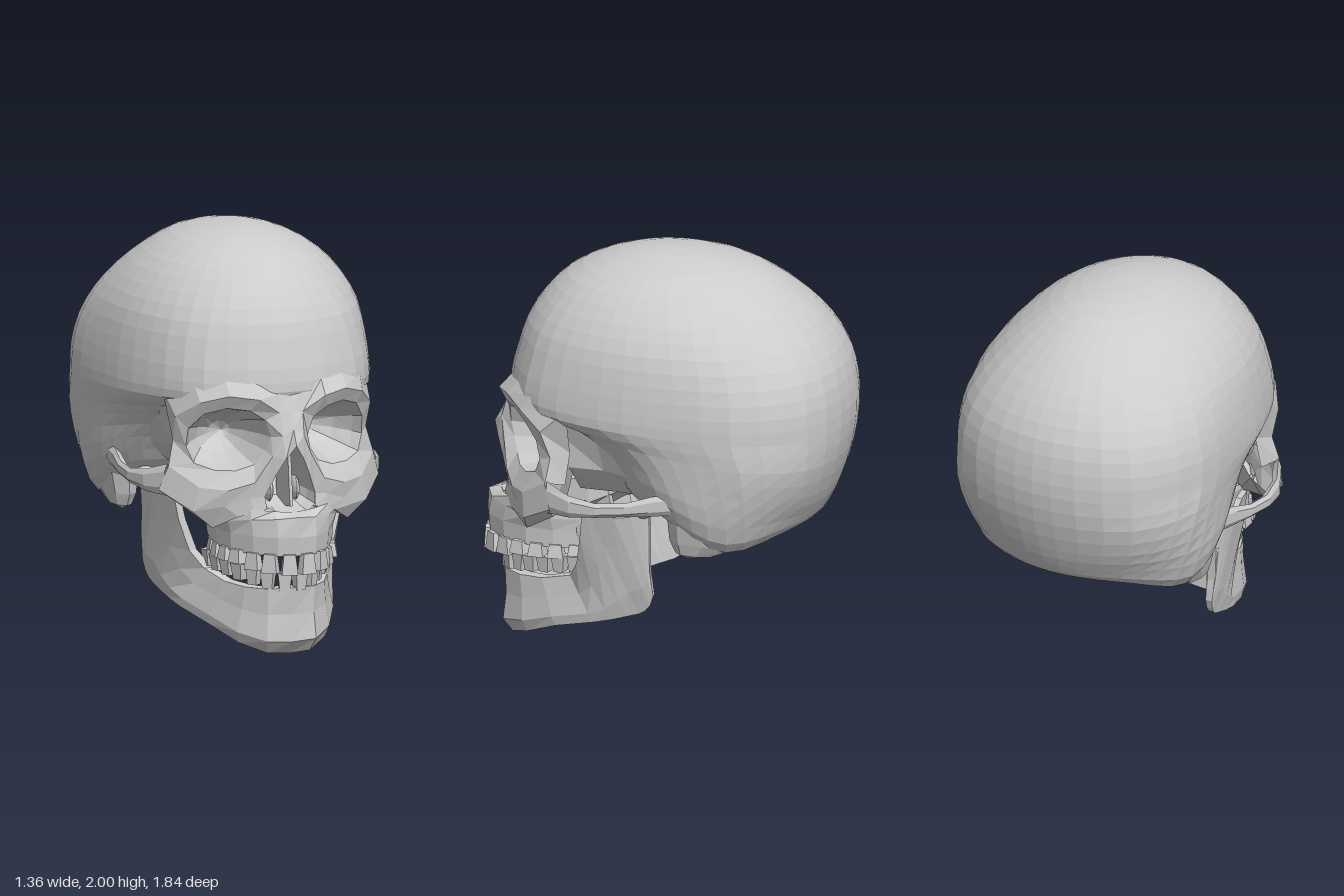
import * as THREE from 'three';

const bone = new THREE.MeshStandardMaterial({ color: 0xcccccc, flatShading: true, side: THREE.DoubleSide });
const V = (x, y, z) => new THREE.Vector3(x, y, z);
const pts = list => list.map(p => V(...p));
const flip = rows => rows.map(r => r.map(p => V(-p.x, p.y, p.z))).reverse();
const { lerp, clamp } = THREE.MathUtils;

// Surface through rows of equal length; closed joins each row's end to its start
function loft(rows, closed = false) {
  const n = rows[0].length, pos = [], idx = [];
  rows.forEach(r => r.forEach(p => pos.push(p.x, p.y, p.z)));
  for (let i = 0; i < rows.length - 1; i++) {
    for (let j = 0; j < (closed ? n : n - 1); j++) {
      const a = i * n + j, b = i * n + (j + 1) % n;
      idx.push(a, a + n, b, b, a + n, b + n);
    }
  }
  const g = new THREE.BufferGeometry();
  g.setAttribute('position', new THREE.Float32BufferAttribute(pos, 3));
  g.setIndex(idx);
  const flat = g.toNonIndexed();
  flat.computeVertexNormals();
  return flat;
}

// Adds smooth in-between rows, column by column
function refine(rows, n) {
  const cols = rows[0].map((_, j) => new THREE.CatmullRomCurve3(rows.map(r => r[j])).getPoints((rows.length - 1) * n));
  return cols[0].map((_, i) => cols.map(c => c[i]));
}

// Rings shrinking from a rim towards a deep point: [scale, depth] per ring
const bowl = (rim, deep, steps) => steps.map(([s, d]) => rim.map(p =>
  V(lerp(deep.x, p.x, s), lerp(deep.y, p.y, s), lerp(p.z, deep.z, d))));

export function createModel() {
  const model = new THREE.Group();
  const add = (name, geo, parent = model) => {
    const m = new THREE.Mesh(geo, bone);
    m.name = name;
    parent.add(m);
    return m;
  };
  const pair = (name, rows, closed) => {
    add(name + 'Left', loft(rows, closed));
    add(name + 'Right', loft(flip(rows), closed));
  };
  const blobs = (name, [x, y, z], [rx, ry, rz]) => [1, -1].forEach(s => {
    const m = add(name + (s > 0 ? 'Left' : 'Right'), new THREE.SphereGeometry(1, 10, 7));
    m.position.set(s * x, y, z);
    m.scale.set(rx, ry, rz);
  });

  // Braincase: tilted rings on one plan outline that rounds off up and down, then the concave base and foramen
  const plan = new THREE.CatmullRomCurve3(pts([[0, 0, 1], [.22, 0, .985], [.42, 0, .92], [.62, 0, .82], [.76, 0, .66],
    [.855, 0, .48], [.93, 0, .28], [.972, 0, .07], [.995, 0, -.16], [.995, 0, -.4], [.9, 0, -.63], [.75, 0, -.8],
    [.5, 0, -.925], [.22, 0, -.985], [0, 0, -1]])).getPoints(20);
  const outline = [...plan, ...plan.slice(1, -1).reverse().map(p => V(-p.x, 0, p.z))];
  // [front y, front z, back y, back z, half width, sag]
  const rings = [
    [2, 0, 2, 0, 0, 0], [1.987, .16, 1.987, -.18, .13, 0], [1.938, .34, 1.938, -.4, .285, 0],
    [1.855, .5, 1.855, -.56, .42, 0], [1.745, .61, 1.745, -.7, .53, 0], [1.62, .69, 1.62, -.81, .61, 0],
    [1.48, .735, 1.48, -.885, .655, 0], [1.34, .768, 1.34, -.915, .676, 0], [1.26, .76, 1.2, -.92, .68, 0],
    [1.2, .55, 1.04, -.895, .675, 0], [1.1, .38, .88, -.845, .665, .02], [.95, .27, .78, -.8, .64, .07],
    [.85, .22, .72, -.75, .57, .135], [.84, .14, .74, -.66, .44, .06], [.82, -.14, .78, -.48, .12, 0],
    [.98, -.2, .98, -.42, .08, 0], [.99, -.31, .99, -.31, 0, 0]];
  const skullRows = rings.map(([yf, zf, yb, zb, w, sag]) => outline.map(o => {
    const z = lerp(zb, zf, (o.z + 1) / 2);
    const round = Math.sign(o.x) * Math.sqrt(Math.max(0, 1 - o.z * o.z));
    const blend = clamp(Math.max((yf - 1.4) / .45, (1.2 - yf) / .3), 0, 1);
    return V(lerp(o.x, round, blend) * w,
      lerp(yb, yf, (o.z + 1) / 2) - sag * Math.exp(-(((z + .38) / .24) ** 2)), z);
  }));
  add('braincase', loft(refine(skullRows, 2), true));

  // Eye sockets: rim, surrounding loop and inner bowl
  const rim = pts([[.095, 1.08, .765], [.125, 1.165, .765], [.2, 1.215, .765], [.3, 1.225, .71], [.395, 1.19, .64], [.45, 1.11, .57],
    [.455, 1.02, .55], [.425, .94, .58], [.34, .91, .645], [.25, .91, .69], [.165, .94, .72], [.115, 1.01, .745]]);
  const loop = pts([[.055, 1.09, .82], [.06, 1.2, .79], [.17, 1.275, .81], [.3, 1.29, .745], [.42, 1.25, .655], [.505, 1.17, .54],
    [.5, 1.04, .49], [.53, .92, .51], [.42, .83, .645], [.3, .82, .72], [.18, .86, .77], [.1, .99, .8]]);
  pair('eyeSocketRim', [loop, rim], true);
  pair('eyeSocket', bowl(rim, V(.2, 1.05, .36), [[1, 0], [.88, .25], [.6, .65], [.28, .92], [0, 1]]), true);

  // Brow blending into the forehead, and the temple wall behind the socket
  const browTop = pts([[.06, 1.29, .765], [.17, 1.345, .75], [.3, 1.36, .685], [.43, 1.34, .59], [.525, 1.29, .41],
    [.46, 1.06, .4], [.48, .9, .42]]);
  pair('brow', [browTop, loop.slice(1, 8)]);
  pair('templeWall', [
    pts([[.61, 1.3, .1], [.57, 1.12, .06], [.5, .95, .04], [.36, .83, .02]]),
    pts([[.56, 1.31, .3], [.485, 1.12, .26], [.43, .97, .24], [.32, .83, .22]]),
    pts([[.525, 1.29, .41], [.46, 1.12, .41], [.44, .98, .41], [.3, .83, .38]])]);

  // Nasal bones and the sides of the nose opening
  const nose = pts([[0, 1.045, .865], [.045, .98, .84], [.085, .9, .81], [.13, .79, .775], [.125, .74, .785],
    [.08, .71, .805], [0, .715, .835]]);
  pair('nasalBone', [pts([[0, 1.28, .765], [0, 1.21, .79], [0, 1.12, .825], [0, 1.045, .865]]),
    [browTop[0], loop[1], loop[0], nose[1]]]);
  pair('noseSide', [nose.slice(1, 4), [loop[0], loop[11], loop[11]]]);
  const noseRim = [...nose, ...nose.slice(1, -1).reverse().map(p => V(-p.x, p.y, p.z))];
  add('noseCavity', loft(bowl(noseRim, V(0, .85, .57), [[1, 0], [.9, .4], [.65, .85], [0, 1]]), true));
  const septum = add('septum', new THREE.BoxGeometry(.016, .25, .18));
  septum.position.set(0, .85, .69);
  septum.rotation.x = -.12;
  blobs('turbinate', [.068, .8, .65], [.02, .06, .06]);

  // Cheekbone from the lower socket edge to the upper jaw, with a turned-in underside
  pair('cheekbone', [
    [11, 10, 9, 8, 7].map(i => loop[i]),
    [nose[3], ...pts([[.2, .78, .755], [.31, .74, .7], [.45, .71, .63], [.57, .8, .48]])],
    pts([[.125, .73, .79], [.18, .71, .77], [.25, .69, .73], [.35, .625, .635], [.48, .735, .48]]),
    pts([[.12, .72, .74], [.18, .7, .68], [.25, .68, .62], [.3, .7, .52], [.42, .83, .42]]),
    pts([[.12, .8, .6], [.18, .84, .56], [.24, .9, .52], [.28, .92, .45], [.36, .95, .4]])]);

  // Zygomatic arch: a flat bar swept back into the crest above the ear
  const arch = [[.53, .85, .5, .08], [.595, .832, .38, .055], [.625, .83, .24, .036], [.62, .84, .1, .034],
    [.6, .86, -.03, .05], [.59, .875, -.14, .055], [.57, .88, -.28, .03]];
  pair('cheekArch', arch.map(([x, y, z, h]) => [[0, 1], [.016, .5], [.016, -.5], [0, -1], [-.03, -.5], [-.03, .5]]
    .map(([dx, dy]) => V(x + dx, y + dy * h, z))), true);

  // Upper jaw: outer arcs, then the inner arcs of the palate
  const upperArc = [[0, .9], [.1, .875], [.195, .785], [.265, .66], [.287, .52], [.27, .36]];
  const arc = (y, s) => upperArc.map(([x, z]) => V(x * s, y, .36 + (z - .36) * s));
  pair('upperJaw', [
    pts([[0, .715, .835], [.1, .72, .805], [.2, .73, .76], [.29, .71, .68], [.32, .72, .54], [.27, .76, .36]]),
    pts([[0, .7, .895], [.1, .69, .86], [.2, .68, .775], [.28, .66, .665], [.3, .66, .53], [.275, .66, .36]]),
    arc(.6, 1), arc(.51, .985), arc(.51, .8), arc(.59, .68), arc(.63, .4), arc(.63, 0)]);
  blobs('jawTuberosity', [.245, .62, .375], [.04, .12, .05]);

  // Core joining the face to the skull base, with the plates behind the palate
  const core = [[.78, .55, .2, .12], [.79, .36, .22, .15], [.83, .2, .17, .1], [.83, -.02, .13, .06], [.83, -.16, .1, .04]];
  add('skullBaseCore', loft(core.map(([y, z, w, h]) => Array.from({ length: 8 }, (_, i) => {
    const a = (i + .5) * Math.PI / 4;
    return V(w * 1.08 * Math.cos(a), y + h * 1.08 * Math.sin(a), z);
  })), true));
  [1, -1].forEach(s => {
    const plate = add(s > 0 ? 'pterygoidPlateLeft' : 'pterygoidPlateRight', new THREE.BoxGeometry(.03, .22, .12));
    plate.position.set(s * .16, .68, .3);
    plate.rotation.set(.2, s * -.3, 0);
  });

  // Bony processes of the base: the mastoid tapers from the side wall down to a blunt tip
  pair('mastoid', [[.88, .64, .42, -.08, -.5], [.77, .6, .41, -.09, -.5], [.66, .575, .42, -.1, -.46],
    [.6, .55, .45, -.13, -.34], [.58, .51, .5, -.18, -.24]].map(([y, xo, xi, zf, zb]) =>
    Array.from({ length: 8 }, (_, i) => {
      const a = i * Math.PI / 4;
      return V((xo + xi + Math.sin(a) * (xo - xi)) / 2, y, (zf + zb + Math.cos(a) * (zf - zb)) / 2);
    })), true);
  blobs('occipitalCondyle', [.12, .79, -.24], [.04, .04, .08]);

  // Lower jaw half: [top], [bottom], inward direction (x, z), thickness, chin bulge
  const jaw = [
    [[0, .34, .825], [0, .005, .76], [0, -1], .09, .045], [[.12, .335, .79], [.11, .012, .755], [-.35, -.93], .09, .04],
    [[.205, .335, .7], [.225, .055, .66], [-.8, -.6], .08, .022], [[.265, .345, .58], [.32, .125, .5], [-.92, -.4], .07, .012],
    [[.315, .385, .43], [.395, .18, .3], [-1, 0], .06, .012], [[.375, .47, .385], [.418, .208, .2], [-1, 0], .05, .012],
    [[.42, .62, .36], [.432, .235, .12], [-1, 0], .045, .012],
    [[.45, .8, .34], [.442, .255, .06], [-1, 0], .04, .01], [[.475, .8, .25], [.45, .275, .03], [-1, 0], .04, .01],
    [[.485, .75, .18], [.458, .305, .005], [-1, 0], .04, .01], [[.49, .76, .1], [.466, .355, -.012], [-1, 0], .045, .008],
    [[.49, .81, .04], [.47, .41, -.005], [-1, 0], .05, .005], [[.485, .79, .005], [.47, .46, .005], [-1, 0], .05, .003]];
  const jawRows = jaw.map(([top, bottom, [nx, nz], thick, bulge]) =>
    [[0, 0], [.4, -bulge * .25], [.8, -bulge], [1, 0], [1, thick * .8], [.5, thick], [0, thick * .8]].map(([t, d]) =>
      V(lerp(top[0], bottom[0], t) + nx * d, lerp(top[1], bottom[1], t), lerp(top[2], bottom[2], t) + nz * d)));
  jawRows.push(jawRows.at(-1).map((_, i, r) => r[0].clone().lerp(r[3], [0, .4, .8, 1, 1, .5, 0][i]).add(V(-.02, 0, 0))));
  pair('lowerJaw', jawRows, true);
  blobs('jawCondyle', [.455, .79, .03], [.085, .035, .04]);

  // Teeth: blocks tapered towards the root, set along each dental arch
  const toothGeo = new THREE.BoxGeometry(1, 1, 1, 2, 1, 2);
  const tp = toothGeo.attributes.position;
  for (let i = 0; i < tp.count; i++) {
    const k = tp.getY(i) > 0 ? .72 : 1;
    const dent = k === 1 && tp.getX(i) === 0 && tp.getZ(i) === 0 ? .08 : 0;
    tp.setXYZ(i, tp.getX(i) * k, tp.getY(i) + dent, tp.getZ(i) * k);
  }
  toothGeo.computeVertexNormals();
  const teeth = (name, path, roll, place) => {
    const group = new THREE.Group();
    group.name = name;
    model.add(group);
    const curve = new THREE.CatmullRomCurve3(pts(path));
    for (let i = 0; i < 7; i++) {
      const u = (i + .5) / 7, p = curve.getPointAt(u), t = curve.getTangentAt(u);
      const [y, h] = place(i);
      for (const s of [1, -1]) {
        const m = add('tooth', toothGeo, group);
        m.position.set(s * p.x, y, p.z);
        m.rotation.set(0, s * Math.atan2(-t.z, t.x), roll);
        m.scale.set(curve.getLength() / 7 * .86, h, i < 3 ? .05 : .08);
      }
    }
  };
  teeth('upperTeeth', [[0, 0, .895], [.1, 0, .865], [.185, 0, .78], [.245, 0, .66], [.262, 0, .52], [.245, 0, .37]], 0,
    i => i < 3 ? [.469 + .004 * i, .1 - .008 * i] : [.492, .066]);
  teeth('lowerTeeth', [[0, 0, .81], [.1, 0, .775], [.18, 0, .68], [.235, 0, .56], [.265, 0, .45], [.275, 0, .37]], Math.PI,
    i => [.37 + .011 * i, i < 3 ? .09 : .08]);

  return model;
}
